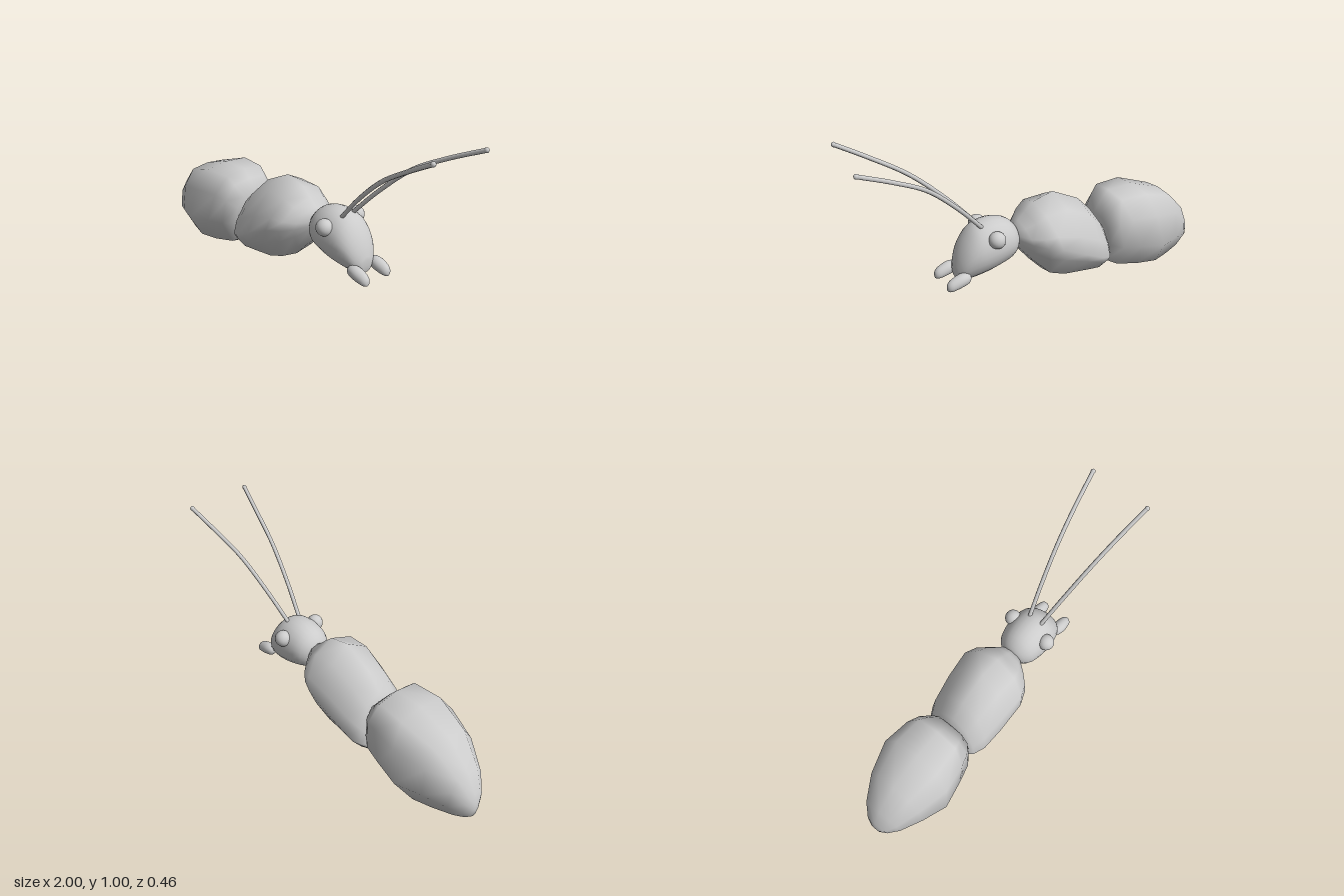
import * as THREE from 'three';

const material = new THREE.MeshStandardMaterial({ color: 0xcccccc, side: THREE.DoubleSide });

function add(group, name, geometry) {
  const mesh = new THREE.Mesh(geometry, material);
  mesh.name = name;
  group.add(mesh);
  return mesh;
}

// Half outlines from top to bottom: [side, height], height measured from the widest level
const ABDOMEN = [[0, 1], [0.58, 0.95], [0.91, 0.6], [1, 0], [0.55, -0.88], [0, -1]];
const THORAX = [[0, 1], [0.58, 0.8], [0.93, 0.35], [1, 0], [0.88, -0.35], [0.6, -0.88], [0, -1]];
const ROUND = Array.from({ length: 13 }, (_, i) => {
  const a = i * Math.PI / 12;
  return [Math.sin(a), Math.cos(a)];
});

// Skin through leaning rings: [xTop, yTop, xBottom, yBottom, halfWidth, yWidest]
function loft(rings, half) {
  const outline = half.concat(half.slice(1, -1).reverse().map(([s, h]) => [-s, h]));
  const n = outline.length, pos = [], index = [];
  for (const [xt, yt, xb, yb, w, ym] of rings) {
    for (const [s, h] of outline) {
      const y = ym + h * (h > 0 ? yt - ym : ym - yb);
      const t = (y - yb) / (yt - yb);
      pos.push(xb + (xt - xb) * t, y, s * w);
    }
  }
  for (let r = 0; r < rings.length - 1; r++) {
    for (let i = 0; i < n; i++) {
      const a = r * n + i, b = r * n + (i + 1) % n;
      index.push(a, b, a + n, b, b + n, a + n);
    }
  }
  // End caps
  for (const [r, front] of [[0, false], [rings.length - 1, true]]) {
    const [xt, yt, xb, yb] = rings[r];
    const c = pos.length / 3;
    pos.push((xt + xb) / 2, (yt + yb) / 2, 0);
    for (let i = 0; i < n; i++) {
      const a = r * n + i, b = r * n + (i + 1) % n;
      if (front) index.push(c, a, b);
      else index.push(c, b, a);
    }
  }
  const g = new THREE.BufferGeometry();
  g.setAttribute('position', new THREE.Float32BufferAttribute(pos, 3));
  g.setIndex(index);
  g.computeVertexNormals();
  return g;
}

// Smoothly interpolate extra rings
function refine(rings, count) {
  const at = (i, k) => rings[Math.max(0, Math.min(rings.length - 1, i))][k];
  return Array.from({ length: count + 1 }, (_, j) => {
    const u = j / count * (rings.length - 1), i = Math.min(Math.floor(u), rings.length - 2), t = u - i;
    return rings[0].map((_, k) => {
      const a = at(i - 1, k), b = at(i, k), c = at(i + 1, k), d = at(i + 2, k);
      return b + 0.5 * t * (c - a + t * (2 * a - 5 * b + 4 * c - d + t * (3 * (b - c) + d - a)));
    });
  });
}

export function createModel() {
  const model = new THREE.Group();
  model.name = 'ant';

  // Abdomen, tail to waist
  add(model, 'abdomen', loft([
    [-1.0, 0.13, -0.995, 0.05, 0.025, 0.09],
    [-0.985, 0.19, -0.97, 0.036, 0.065, 0.1],
    [-0.93, 0.29, -0.92, 0.025, 0.115, 0.13],
    [-0.8, 0.42, -0.82, 0.01, 0.178, 0.17],
    [-0.61, 0.485, -0.72, 0.003, 0.23, 0.18],
    [-0.45, 0.485, -0.6, 0.012, 0.205, 0.2],
    [-0.41, 0.44, -0.46, 0.046, 0.18, 0.21],
    [-0.36, 0.375, -0.4, 0.08, 0.135, 0.22],
  ], ABDOMEN));

  // Thorax with a side ridge, waist to neck
  add(model, 'thorax', loft([
    [-0.37, 0.34, -0.4, 0.095, 0.12, 0.155],
    [-0.33, 0.4, -0.38, 0.088, 0.155, 0.165],
    [-0.25, 0.485, -0.33, 0.075, 0.185, 0.19],
    [-0.09, 0.565, -0.24, 0.086, 0.2, 0.25],
    [0.03, 0.535, -0.1, 0.1, 0.208, 0.33],
    [0.08, 0.49, -0.02, 0.125, 0.18, 0.34],
    [0.12, 0.45, 0.06, 0.21, 0.125, 0.35],
    [0.15, 0.43, 0.14, 0.31, 0.065, 0.37],
  ], THORAX));

  // Head, neck to snout
  add(model, 'head', loft(refine([
    [0.14, 0.41, 0.14, 0.34, 0.035, 0.375],
    [0.15, 0.445, 0.15, 0.305, 0.07, 0.375],
    [0.2, 0.49, 0.19, 0.27, 0.108, 0.375],
    [0.28, 0.51, 0.28, 0.24, 0.125, 0.37],
    [0.37, 0.493, 0.36, 0.222, 0.122, 0.355],
    [0.43, 0.43, 0.42, 0.212, 0.102, 0.33],
    [0.47, 0.355, 0.46, 0.212, 0.072, 0.285],
    [0.49, 0.29, 0.485, 0.222, 0.035, 0.255],
  ], 21), ROUND));

  // Paired eyes, jaws and antennae
  for (const side of [1, -1]) {
    const label = side > 0 ? 'left' : 'right';
    const eye = add(model, label + 'Eye', new THREE.SphereGeometry(0.044, 20, 14));
    eye.position.set(0.3, 0.437, side * 0.112);

    const jaw = add(model, label + 'Jaw', loft(refine([
      [0.435, 0.255, 0.435, 0.245, 0.005, 0.25],
      [0.45, 0.275, 0.45, 0.222, 0.025, 0.25],
      [0.49, 0.28, 0.49, 0.21, 0.034, 0.245],
      [0.54, 0.262, 0.54, 0.201, 0.029, 0.228],
      [0.56, 0.245, 0.56, 0.203, 0.018, 0.223],
      [0.566, 0.23, 0.566, 0.21, 0.006, 0.22],
    ], 15), ROUND));
    jaw.position.z = side * 0.075;

    const tip = side > 0 ? [0.972, 0.988, 0.172] : [0.99, 0.964, -0.168];
    const curve = new THREE.CatmullRomCurve3([
      new THREE.Vector3(0.34, 0.48, side * 0.036),
      new THREE.Vector3(0.48, 0.635, side * 0.07),
      new THREE.Vector3(0.65, 0.79, side * 0.107),
      new THREE.Vector3(0.82, 0.9 - (side < 0 ? 0.015 : 0), side * 0.14),
      new THREE.Vector3(...tip),
    ]);
    add(model, label + 'Antenna', new THREE.TubeGeometry(curve, 24, 0.011, 8));
    add(model, label + 'AntennaTip', new THREE.SphereGeometry(0.0125, 10, 8)).position.set(...tip);
  }
  return model;
}
